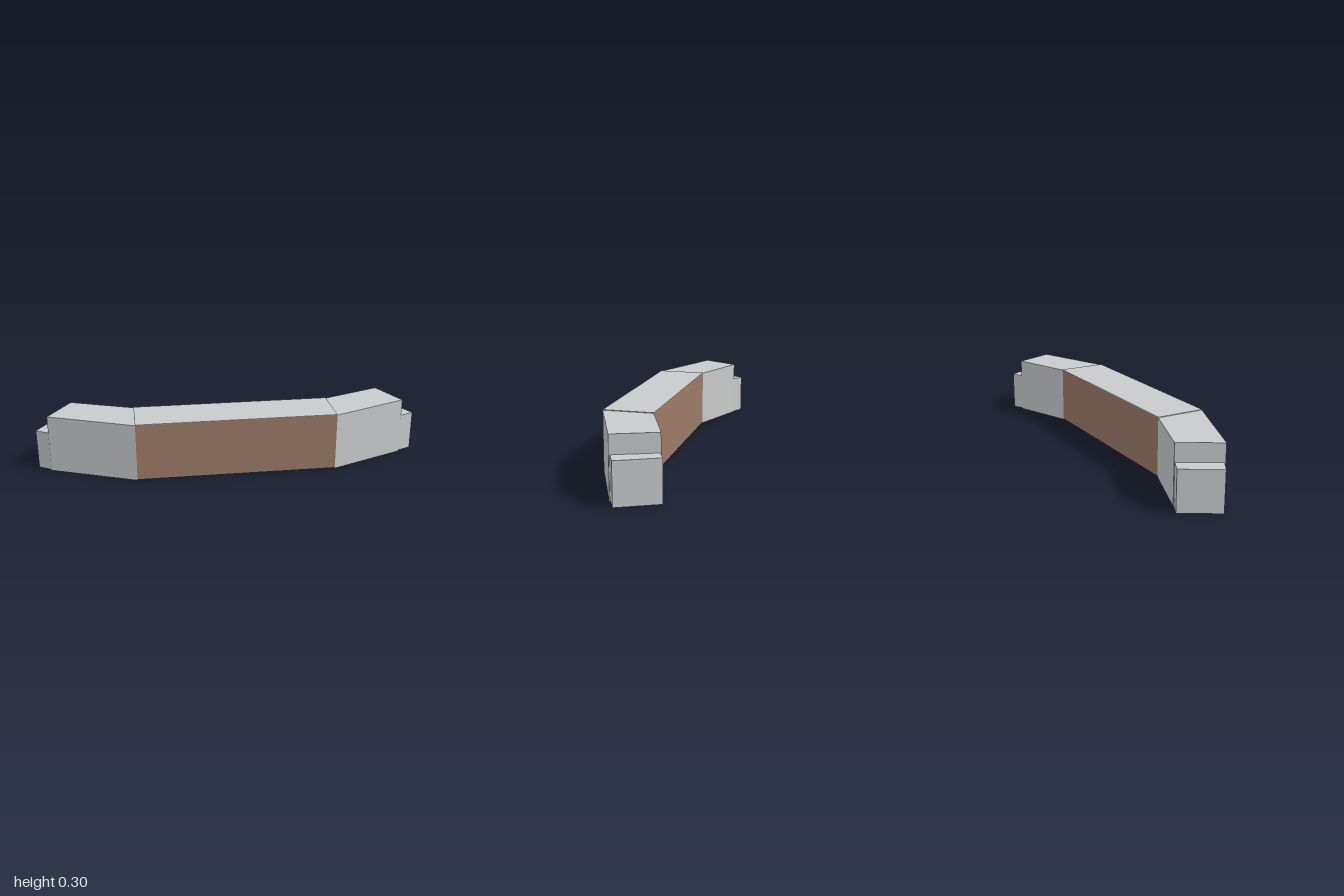
import * as THREE from 'three';

const grey = new THREE.MeshStandardMaterial({ color: 0xc8cacb });
grey.name = 'light grey';
const brown = new THREE.MeshStandardMaterial({ color: 0x9c7a66 });
brown.name = 'brown';

// Upright slab from a plan outline of [x, z] corners
function slab(name, plan, bottom, top, material) {
  const shape = new THREE.Shape(plan.map(([x, z]) => new THREE.Vector2(x, -z)));
  const geometry = new THREE.ExtrudeGeometry(shape, { depth: top - bottom, bevelEnabled: false });
  geometry.rotateX(-Math.PI / 2).translate(0, bottom, 0);
  const mesh = new THREE.Mesh(geometry, material);
  mesh.name = name;
  return mesh;
}

export function createModel() {
  const model = new THREE.Group();
  model.name = 'curvedBarrier';
  const front = 0.203, back = -0.047, xr = -0.498, xl = 0.524;

  // Straight middle section: brown body under a thin grey top
  const middle = [[xr, front], [xl, front], [xl, back], [xr, back]];
  model.add(slab('middleBody', middle, 0.004, 0.298, brown));
  model.add(slab('middleTop', middle, 0.298, 0.301, grey));

  // Swept-back wings
  model.add(slab('leftWing', [[xl, front], [0.923, 0.037], [0.838, -0.171], [xl, back]], 0, 0.298, grey));
  model.add(slab('rightWing', [[xr, front], [-0.935, 0.022], [-0.823, -0.171], [xr, back]], 0, 0.298, grey));

  // Lower end caps
  model.add(slab('leftEndCap', [[0.921, 0.032], [1, -0.004], [0.905, -0.197], [0.838, -0.166]], 0.002, 0.207, grey));
  model.add(slab('rightEndCap', [[-0.933, 0.017], [-1, -0.024], [-0.895, -0.204], [-0.823, -0.168]], 0.002, 0.207, grey));

  return model;
}
